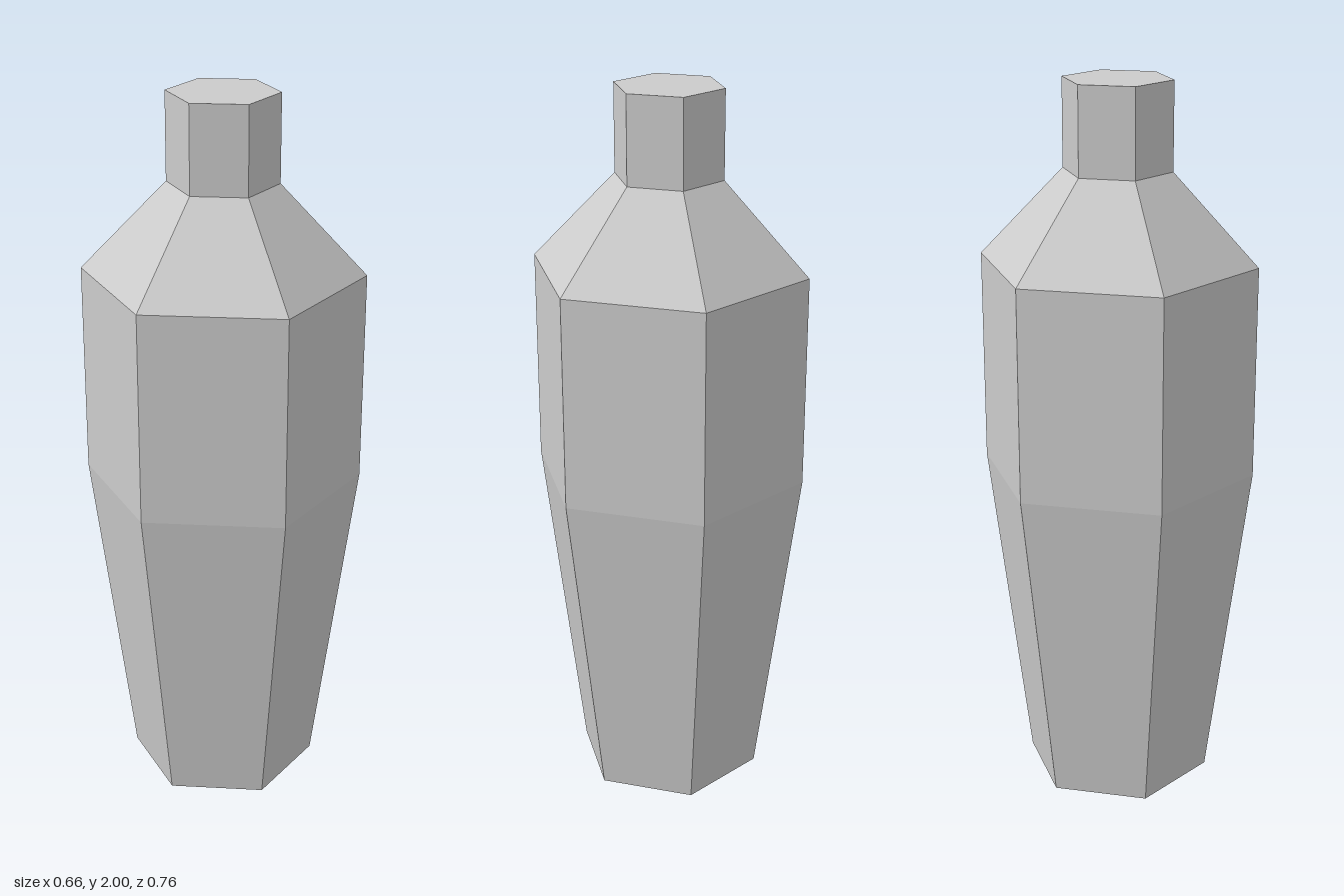
import * as THREE from 'three';

const SIDES = 6;

export function createModel() {
  const group = new THREE.Group();
  group.name = 'bottle';
  const material = new THREE.MeshStandardMaterial({ color: 0xcccccc, flatShading: true });

  // Turns a [radius, height] profile into a hexagonal shell with a corner at the front
  const addPart = (name, profile) => {
    const points = profile.map(([r, y]) => new THREE.Vector2(r, y));
    const mesh = new THREE.Mesh(new THREE.LatheGeometry(points, SIDES), material);
    mesh.name = name;
    group.add(mesh);
  };

  // Closed base, tapered lower half and straight upper half
  addPart('body', [[0, 0], [0.263, 0], [0.381, 0.93], [0.381, 1.517]]);
  // Slope from the body in to the neck
  addPart('shoulder', [[0.381, 1.517], [0.149, 1.762]]);
  // Straight neck with a closed top
  addPart('neck', [[0.149, 1.762], [0.149, 2], [0, 2]]);

  return group;
}
